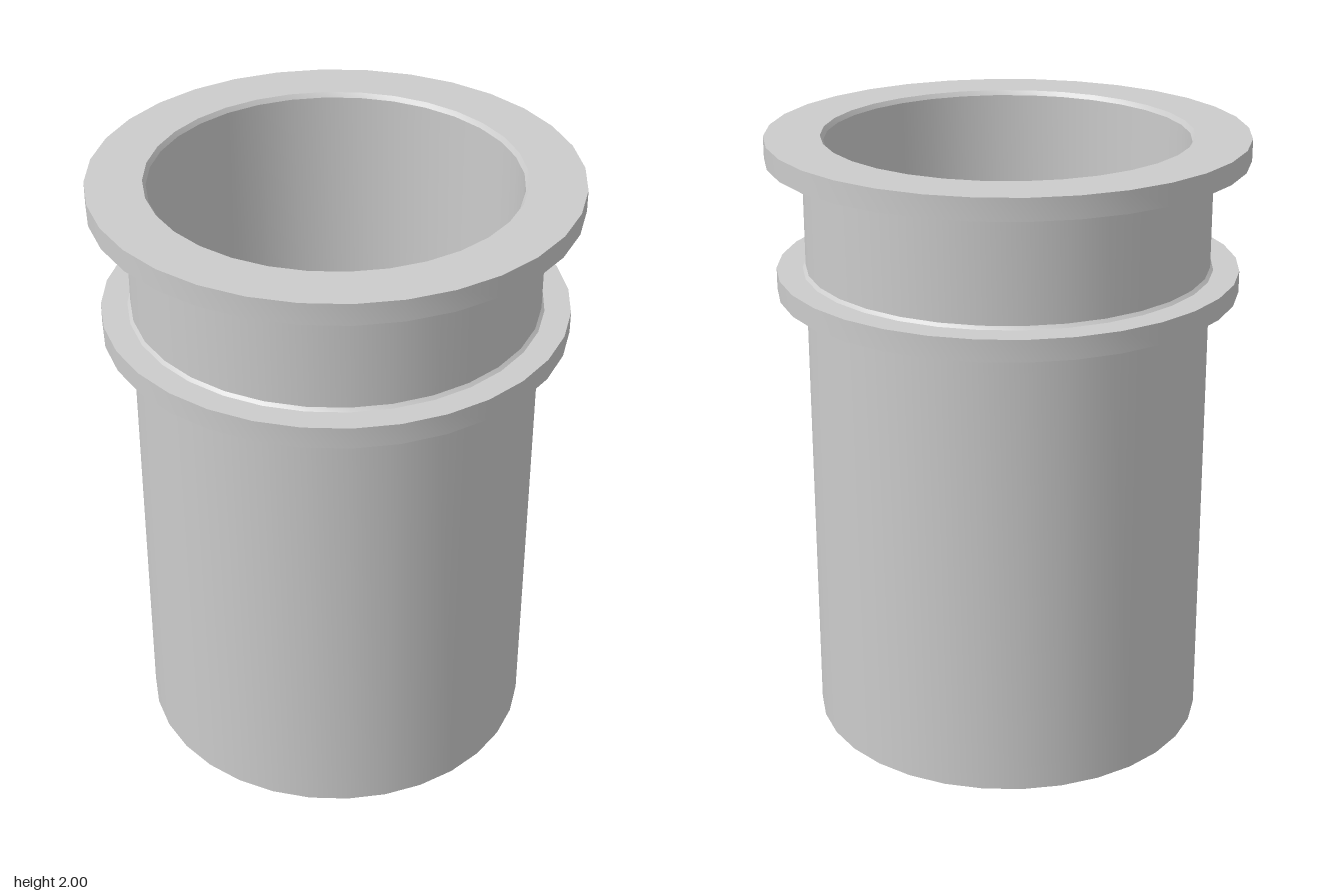
import * as THREE from 'three';
import { toCreasedNormals } from 'three/addons/utils/BufferGeometryUtils.js';

const SIDES = 32;

export function createModel() {
  const group = new THREE.Group();
  group.name = 'flangedCup';
  const material = new THREE.MeshStandardMaterial({ color: 0xcccccc });

  // Revolves a [radius, height] profile, keeping its corners sharp
  function addTurned(name, profile) {
    const points = profile.map(([r, y]) => new THREE.Vector2(r, y));
    const geometry = toCreasedNormals(new THREE.LatheGeometry(points, SIDES), 0.4);
    const mesh = new THREE.Mesh(geometry, material);
    mesh.name = name;
    group.add(mesh);
  }

  const body = 0.65, bore = 0.58, bevel = 0.01;

  // Closed bottom and outer wall
  addTurned('outerWall', [[0, 0], [body, 0], [body, 1.94]]);

  // Collar below the rim, with small bevels where it meets the wall
  addTurned('collar', [
    [body, 1.5 - bevel], [body + bevel, 1.5], [0.743, 1.5],
    [0.743, 1.57], [body + bevel, 1.57], [body, 1.57 + bevel],
  ]);

  // Wide top rim with a bevelled mouth
  addTurned('rim', [
    [body, 1.93], [0.767, 1.93], [0.767, 2], [bore + bevel, 2], [bore, 1.985],
  ]);

  // Hollow inside: wall going down to a flat floor
  addTurned('innerWall', [[bore, 1.985], [bore, 0.07], [0, 0.07]]);

  return group;
}
